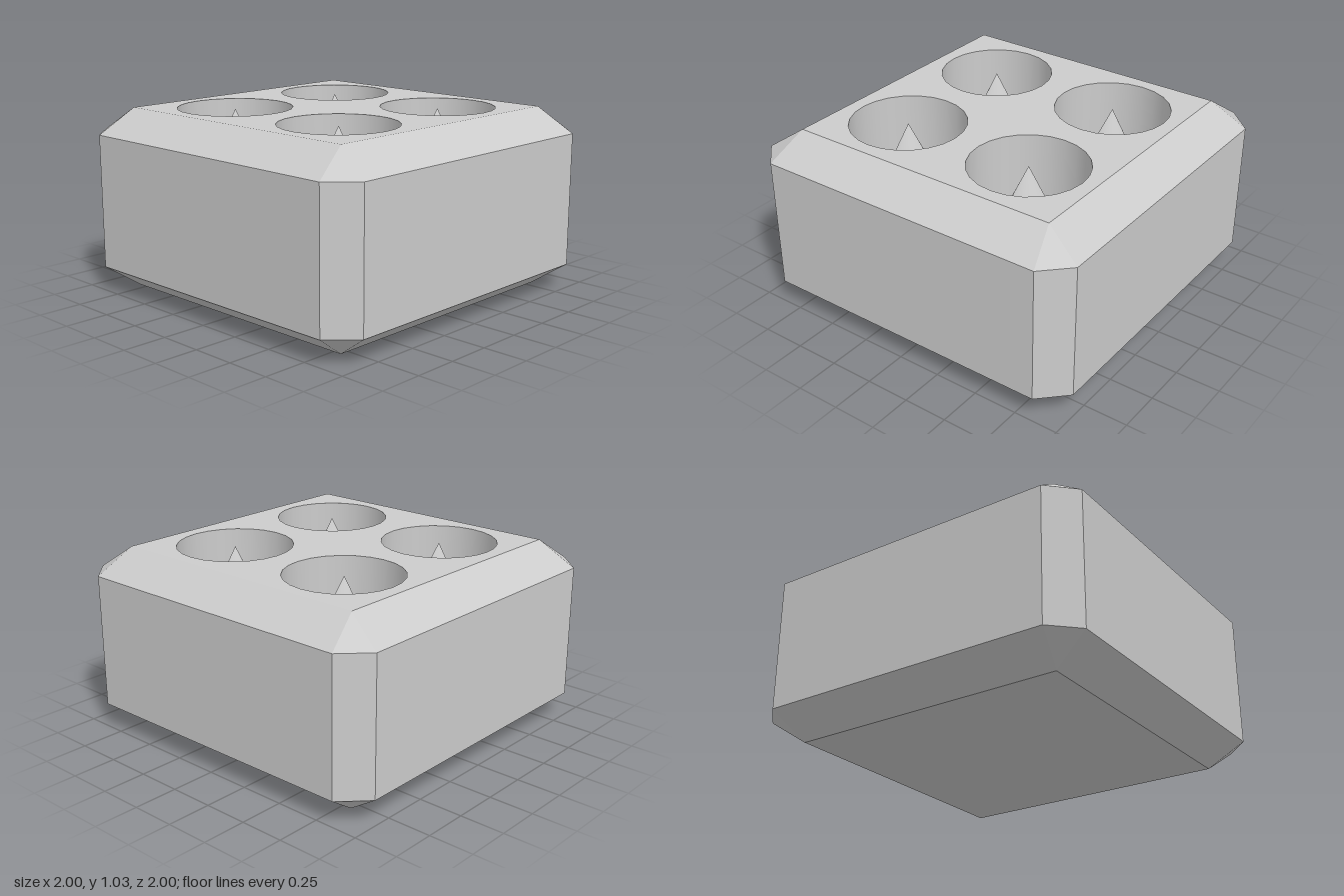
import * as THREE from 'three';
import { mergeVertices } from 'three/addons/utils/BufferGeometryUtils.js';

const HEIGHT = 1.035, FLOOR = 0.43, HOLE_R = 0.323, CONE_R = 0.278, SIDES = 24;
const CENTRES = [[-0.4, -0.4], [0.4, -0.4], [-0.4, 0.4], [0.4, 0.4]];

// Eight corner points: a = long reach, b = where the corner cut starts
const octagon = (a, b, y) => [
  [a, b], [b, a], [-b, a], [-a, b], [-a, -b], [-b, -a], [b, -a], [a, -b],
].map(([x, z]) => new THREE.Vector3(x, y, z));

// Skin between successive closed loops of points, leaving out empty triangles
function loft(loops) {
  const pos = [];
  const tri = (a, b, c) => {
    const area = b.clone().sub(a).cross(c.clone().sub(a)).length();
    if (area > 1e-6) for (const p of [a, b, c]) pos.push(p.x, p.y, p.z);
  };
  for (let k = 0; k < loops.length - 1; k++) {
    const [low, high] = [loops[k], loops[k + 1]];
    for (let i = 0; i < low.length; i++) {
      const j = (i + 1) % low.length;
      tri(low[i], high[i], high[j]);
      tri(low[i], high[j], low[j]);
    }
  }
  const g = new THREE.BufferGeometry();
  g.setAttribute('position', new THREE.Float32BufferAttribute(pos, 3));
  g.computeVertexNormals();
  return g;
}

// One quarter of the top: a square outline lofted inwards to the round opening
function topQuarterGeometry() {
  const square = [], circle = [];
  for (let i = 0; i < SIDES; i++) {
    const t = (i / SIDES) * Math.PI * 2;
    const dir = new THREE.Vector3(Math.cos(t), 0, Math.sin(t));
    const reach = 0.4 / Math.max(Math.abs(dir.x), Math.abs(dir.z));
    square.push(dir.clone().multiplyScalar(reach).setY(HEIGHT));
    circle.push(dir.clone().multiplyScalar(HOLE_R).setY(HEIGHT));
  }
  return loft([square, circle]);
}

// Cone with one shared tip vertex, so the shading rounds over the point
function noseGeometry() {
  const h = HEIGHT - 0.01 - FLOOR;
  const g = new THREE.ConeGeometry(CONE_R, h, 32, 1, true);
  g.deleteAttribute('normal');
  g.deleteAttribute('uv');
  const merged = mergeVertices(g, 1e-4);
  merged.computeVertexNormals();
  return merged.translate(0, FLOOR + h / 2, 0);
}

export function createModel() {
  const model = new THREE.Group();
  model.name = 'launcherPod';
  const flat = new THREE.MeshStandardMaterial({ color: 0xcccccc, flatShading: true });
  const sheet = new THREE.MeshStandardMaterial({ color: 0xcccccc, flatShading: true, side: THREE.DoubleSide });
  const smooth = new THREE.MeshStandardMaterial({ color: 0xcccccc });
  const inner = new THREE.MeshStandardMaterial({ color: 0xcccccc, side: THREE.DoubleSide });
  const add = (parent, name, geometry, material) => {
    const mesh = new THREE.Mesh(geometry, material);
    mesh.name = name;
    parent.add(mesh);
  };

  // Casing with chamfered edges and corners
  add(model, 'casingWalls', loft([
    octagon(0.8, 0.8, 0), octagon(1, 0.855, 0.139),
    octagon(1, 0.855, HEIGHT - 0.139), octagon(0.8, 0.8, HEIGHT),
  ]), flat);
  add(model, 'casingBottom', new THREE.PlaneGeometry(1.6, 1.6).rotateX(Math.PI / 2), flat);

  // Four tubes, each with its quarter of the top and a pointed cone inside
  const depth = HEIGHT - FLOOR;
  const top = topQuarterGeometry();
  const wall = new THREE.CylinderGeometry(HOLE_R, HOLE_R, depth, SIDES, 1, true)
    .translate(0, FLOOR + depth / 2, 0);
  const floor = new THREE.CircleGeometry(HOLE_R, SIDES).rotateX(-Math.PI / 2).translate(0, FLOOR, 0);
  const nose = noseGeometry();
  for (const [x, z] of CENTRES) {
    const tube = new THREE.Group();
    tube.name = 'tube';
    tube.position.set(x, 0, z);
    add(tube, 'casingTop', top, sheet);
    add(tube, 'tubeWall', wall, inner);
    add(tube, 'tubeFloor', floor, flat);
    add(tube, 'noseCone', nose, smooth);
    model.add(tube);
  }
  return model;
}
